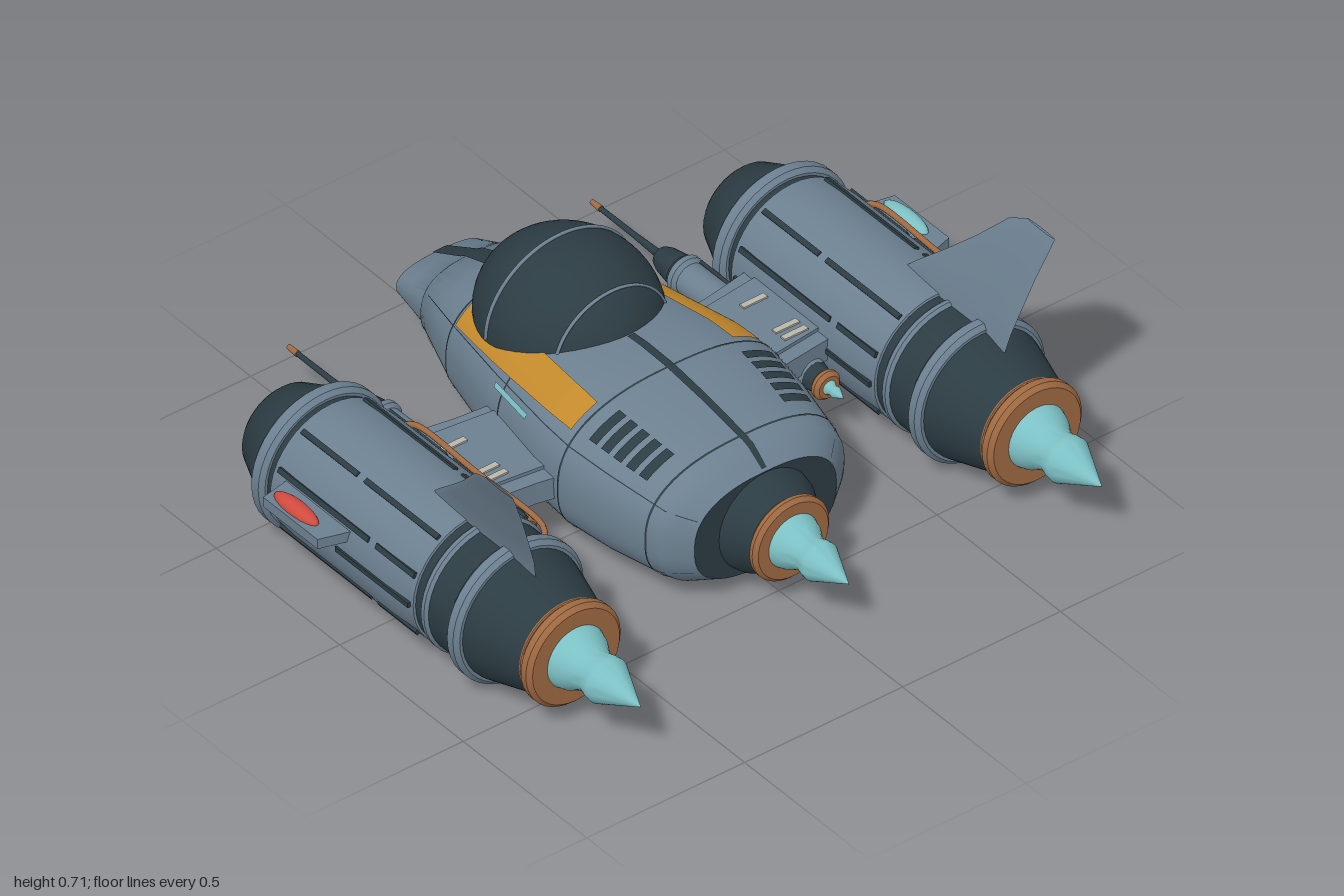
import * as THREE from 'three';
import { toCreasedNormals } from 'three/addons/utils/BufferGeometryUtils.js';
import { ParametricGeometry } from 'three/addons/geometries/ParametricGeometry.js';

const paint = (name, color) => {
  const m = new THREE.MeshStandardMaterial({ color, side: THREE.DoubleSide });
  m.name = name;
  return m;
};
const grey = paint('hull grey', 0x6c8090), dark = paint('dark steel', 0x2c3c43), copper = paint('copper', 0xa06a42),
  cyan = paint('cyan', 0x7cc0c4), amber = paint('amber', 0xc48a2c), red = paint('red', 0xd04a3e), pale = paint('pale', 0xb9b6aa);

function add(parent, name, geo, mat, x = 0, y = 0, z = 0) {
  const m = new THREE.Mesh(geo, mat);
  m.name = name;
  m.position.set(x, y, z);
  parent.add(m);
  return m;
}

// Turned part along z from [z, radius] pairs, z increasing
function turned(parent, name, mat, pts, x = 0, y = 0, z = 0, sides = 40) {
  const geo = new THREE.LatheGeometry(pts.map(([pz, r]) => new THREE.Vector2(r, pz)), sides).rotateX(Math.PI / 2);
  return add(parent, name, toCreasedNormals(geo, 0.6), mat, x, y, z);
}
const ring = (z0, z1, r, inner) => {
  const b = Math.min(0.012, (z1 - z0) / 3);
  return [[z0, inner], [z0, r - b], [z0 + b, r], [z1 - b, r], [z1, r - b], [z1, inner]];
};
const flame = (s) => [[0, 0.092], [0.03, 0.083], [0.06, 0.065], [0.085, 0.058], [0.11, 0.064], [0.13, 0.066],
  [0.15, 0.056], [0.265, 0.001]].map(([z, r]) => [z * s, r * s]);

// Fuselage stations: z, half width, top, bottom
const hull = [[-0.875, 0.137, 0.245, 0.14], [-0.747, 0.157, 0.31, 0.1], [-0.74, 0.165, 0.318, 0.093], [-0.54, 0.24, 0.392, 0.045],
  [-0.3, 0.302, 0.432, 0.02], [-0.05, 0.347, 0.45, 0.01], [0.06, 0.355, 0.447, 0.01], [0.2, 0.336, 0.43, 0.013],
  [0.36, 0.302, 0.402, 0.028], [0.39, 0.293, 0.392, 0.035], [0.445, 0.225, 0.35, 0.058]];
function hullPoint(a, z, off, target) {
  let i = 0;
  while (i < hull.length - 2 && z > hull[i + 1][0]) i++;
  const k = THREE.MathUtils.clamp((z - hull[i][0]) / (hull[i + 1][0] - hull[i][0]), 0, 1);
  const [w, t, b] = [1, 2, 3].map((j) => THREE.MathUtils.lerp(hull[i][j], hull[i + 1][j], k));
  const p = (v) => Math.sign(v) * Math.abs(v) ** 0.8;
  return target.set((w + off) * p(Math.cos(a)), (t + b) / 2 + ((t - b) / 2 + off) * p(Math.sin(a)), z);
}
// Thin panel lying on the fuselage between two angles (degrees) and two z values
function panel(parent, name, mat, a0, a1, z0, z1, nu = 6, nv = 6, off = 0.004, a0b = a0, a1b = a1) {
  const rad = Math.PI / 180, L = THREE.MathUtils.lerp;
  return add(parent, name, new ParametricGeometry((u, v, t) =>
    hullPoint(L(L(a0, a0b, v), L(a1, a1b, v), u) * rad, L(z0, z1, v), off, t), nu, nv), mat);
}

function fuselage() {
  const g = new THREE.Group();
  g.name = 'fuselage';
  const n = hull.length - 1;
  const skin = new ParametricGeometry((u, v, t) => {
    const f = v * n, i = Math.min(Math.floor(f + 1e-6), n - 1);
    hullPoint(u * 2 * Math.PI, THREE.MathUtils.lerp(hull[i][0], hull[i + 1][0], f - i), 0, t);
  }, 80, n * 2);
  add(g, 'hull', toCreasedNormals(skin, 0.6), grey);
  // End caps
  for (const [z, name] of [[-0.875, 'noseCap'], [0.445, 'rearCap']]) {
    add(g, name, new ParametricGeometry((u, v, t) => {
      hullPoint(u * 2 * Math.PI, z, 0, t);
      const cy = z < 0 ? 0.19 : 0.204;
      t.set(t.x * v, cy + (t.y - cy) * v, z);
    }, 48, 1), dark);
  }
  // Panel seams
  for (const z of [-0.54, -0.24, 0.06, 0.35]) panel(g, 'ringSeam', dark, 0, 360, z - 0.003, z + 0.003, 80, 1, 0.002);
  panel(g, 'noseSeam', dark, 0, 360, -0.748, -0.739, 80, 1, 0.001);
  for (const a of [28, 152, 205, 235, 270, 305, 335]) panel(g, 'longSeam', dark, a - 0.4, a + 0.4, -0.72, 0.44, 1, 40, 0.002);
  panel(g, 'spineSeam', dark, 89.2, 90.8, -0.1, 0.44, 2, 20, 0.003);
  panel(g, 'noseStrip', dark, 84, 96, -0.875, -0.64, 6, 12, 0.004);
  // Stripes and vents on both shoulders
  for (const s of [0, 1]) {
    const m = (a) => (s ? 180 - a : a);
    panel(g, 'shoulderStripe', amber, m(30), m(60), -0.53, 0.04, 14, 24, 0.004, m(37), m(58));
    panel(g, 'sideStripe', cyan, m(20), m(24), -0.28, -0.12, 3, 8, 0.003);
    for (let i = 0; i < 5; i++) panel(g, 'vent', dark, m(39), m(62), 0.1 + i * 0.043, 0.127 + i * 0.043, 8, 2, 0.004);
  }
  // Canopy with two thin hoops
  const c = add(g, 'canopy', new THREE.SphereGeometry(1, 48, 32), dark, 0, 0.37, -0.348);
  c.scale.set(0.235, 0.218, 0.258);
  for (const z of [-0.18, -0.39]) {
    const k = Math.sqrt(1 - ((z + 0.348) / 0.258) ** 2);
    const hoop = add(g, 'canopyHoop', new THREE.TorusGeometry(1, 0.022, 8, 48, Math.PI), grey, 0, 0.37, z);
    hoop.scale.set(0.236 * k, 0.22 * k, 0.25);
  }
  // Central engine
  turned(g, 'cowl', dark, [[0.43, 0.15], [0.47, 0.142], [0.53, 0.108], [0.53, 0]], 0, 0.2);
  turned(g, 'nozzleRing', copper, ring(0.525, 0.558, 0.122, 0.07), 0, 0.2);
  turned(g, 'flame', cyan, flame(0.85), 0, 0.2, 0.557);
  return g;
}

function enginePod(side) {
  const g = new THREE.Group();
  g.name = 'enginePod';
  turned(g, 'core', dark, [[-0.585, 0], [-0.585, 0.12], [-0.575, 0.13], [-0.45, 0.184], [-0.36, 0.188], [0.36, 0.188],
    [0.4, 0.186], [0.56, 0.14], [0.56, 0]]);
  turned(g, 'casing', grey, [[-0.385, 0.18], [-0.38, 0.193], [-0.3, 0.198], [0.1, 0.199], [0.2, 0.194], [0.205, 0.18]]);
  turned(g, 'frontRing', grey, ring(-0.452, -0.4, 0.206, 0.17));
  turned(g, 'midRing', grey, ring(0.222, 0.258, 0.196, 0.17));
  turned(g, 'rearRing', grey, ring(0.342, 0.39, 0.207, 0.17));
  turned(g, 'nozzleLip', copper, ring(0.55, 0.572, 0.14, 0.08));
  turned(g, 'nozzleRing', copper, ring(0.568, 0.612, 0.15, 0.08));
  turned(g, 'flame', cyan, flame(1), 0, 0, 0.608);
  // Intake fan
  turned(g, 'intakeDisc', grey, [[-0.592, 0], [-0.592, 0.098], [-0.58, 0.104]]);
  for (let i = 0; i < 5; i++) {
    add(g, 'fanBlade', new THREE.BoxGeometry(0.19, 0.016, 0.008), dark, 0, 0, -0.593).rotation.z = i * Math.PI / 5;
  }
  add(g, 'intakeHub', new THREE.SphereGeometry(0.032, 20, 14), copper, 0, 0, -0.607);
  // Dark slots along the casing
  [0, 30, 62, 122, 155, 180, 210, 242, 298, 330].forEach((deg, i) => {
    const a = deg * Math.PI / 180, cut = i % 2 ? -0.12 : 0.02;
    for (const [z0, z1] of [[-0.36, cut - 0.015], [cut + 0.015, 0.19]]) {
      add(g, 'casingSlot', new THREE.BoxGeometry(0.009, 0.015, z1 - z0), dark,
        0.199 * Math.cos(a), 0.199 * Math.sin(a), (z0 + z1) / 2).rotation.z = a;
    }
  });
  // Copper pipes with bent ends
  for (const deg of [38, -38]) {
    const a = deg * Math.PI / 180;
    const pts = [[0.3, 0.185], [0.27, 0.206], [0, 0.209], [-0.25, 0.208], [-0.28, 0.19]]
      .map(([z, r]) => new THREE.Vector3(r * Math.cos(a), r * Math.sin(a), z));
    add(g, 'pipe', new THREE.TubeGeometry(new THREE.CatmullRomCurve3(pts), 30, 0.008, 8), copper);
  }
  // Outer winglet with navigation light
  const w = add(g, 'winglet', plate([[0.17, -0.33], [0.27, -0.31], [0.27, -0.09], [0.17, -0.06]], 0.03), grey, 0, 0.04, 0);
  if (side < 0) w.scale.x = -1;
  add(g, 'navLight', new THREE.SphereGeometry(1, 24, 16), side < 0 ? red : cyan, side * 0.235, 0.07, -0.22).scale.set(0.026, 0.022, 0.085);
  g.position.set(side * 0.73, 0.215, 0);
  return g;
}

// Flat plate from [x, z] corners, thickness upward
function plate(pts, h) {
  const shape = new THREE.Shape(pts.map(([x, z]) => new THREE.Vector2(x, -z)));
  return new THREE.ExtrudeGeometry(shape, { depth: h, bevelEnabled: false }).rotateX(-Math.PI / 2);
}

// Wing root, gun and tail fin for the +x side
function sideParts() {
  const g = new THREE.Group();
  g.name = 'sideParts';
  add(g, 'wing', plate([[0.25, -0.29], [0.4, -0.305], [0.57, -0.335], [0.57, 0.01], [0.4, 0.03], [0.25, 0.06]], 0.065), grey, 0, 0.185, 0);
  add(g, 'wingCrown', plate([[0.3, -0.26], [0.56, -0.29], [0.56, -0.03], [0.3, 0]], 0.012), grey, 0, 0.248, 0);
  for (const z of [-0.21, -0.08, -0.045]) add(g, 'wingStripe', new THREE.BoxGeometry(0.075, 0.006, 0.018), pale, 0.475, 0.262, z);
  // Gun
  const x = 0.48, y = 0.17;
  turned(g, 'gunBody', grey, [[-0.5, 0], [-0.5, 0.045], [-0.3, 0.047], [0.0, 0.047], [0.03, 0.04], [0.03, 0]], x, y, 0, 24);
  turned(g, 'gunCollar', grey, ring(-0.51, -0.47, 0.055, 0.03), x, y, 0, 24);
  turned(g, 'gunMuzzle', dark, [[-0.59, 0], [-0.59, 0.028], [-0.57, 0.036], [-0.51, 0.046]], x, y, 0, 24);
  turned(g, 'gunBarrel', dark, [[-0.84, 0], [-0.84, 0.007], [-0.7, 0.008], [-0.58, 0.012]], x, y, 0, 12);
  turned(g, 'gunTip', copper, [[-0.872, 0], [-0.872, 0.007], [-0.835, 0.009], [-0.83, 0]], x, y, 0, 12);
  turned(g, 'gunTail', dark, [[0.02, 0.042], [0.065, 0.032], [0.08, 0.024]], x, y, 0, 24);
  turned(g, 'gunRing', copper, ring(0.06, 0.09, 0.042, 0.015), x, y, 0, 24);
  turned(g, 'gunFlame', cyan, flame(0.24), x, y, 0.085, 16);
  add(g, 'gunCable', new THREE.BoxGeometry(0.012, 0.012, 0.16), dark, 0.515, 0.2, -0.4);
  // Tail fin: rows of [y, x, rear z, front z] curving outwards
  const rows = [[0.38, 0.742, 0.465, 0.03], [0.44, 0.755, 0.474, 0.09], [0.52, 0.782, 0.487, 0.18], [0.6, 0.81, 0.5, 0.265],
    [0.69, 0.846, 0.516, 0.35], [0.718, 0.858, 0.52, 0.41]];
  const fin = new ParametricGeometry((u, v, t) => {
    const f = v * (rows.length - 1), i = Math.min(Math.floor(f + 1e-6), rows.length - 2);
    const [fy, fx, z0, z1] = rows[i].map((q, j) => THREE.MathUtils.lerp(q, rows[i + 1][j], f - i));
    const a = u * 2 * Math.PI;
    t.set(fx + 0.008 * (1 - 0.6 * v) * Math.sin(a), fy, (z0 + z1) / 2 + (z0 - z1) / 2 * Math.cos(a));
  }, 24, 10);
  add(g, 'tailFin', toCreasedNormals(fin, 0.6), grey);
  return g;
}

export function createModel() {
  const model = new THREE.Group();
  model.name = 'spacecraft';
  model.add(fuselage());
  for (const side of [1, -1]) {
    model.add(enginePod(side));
    const parts = sideParts();
    parts.scale.x = side;
    model.add(parts);
  }
  return model;
}
